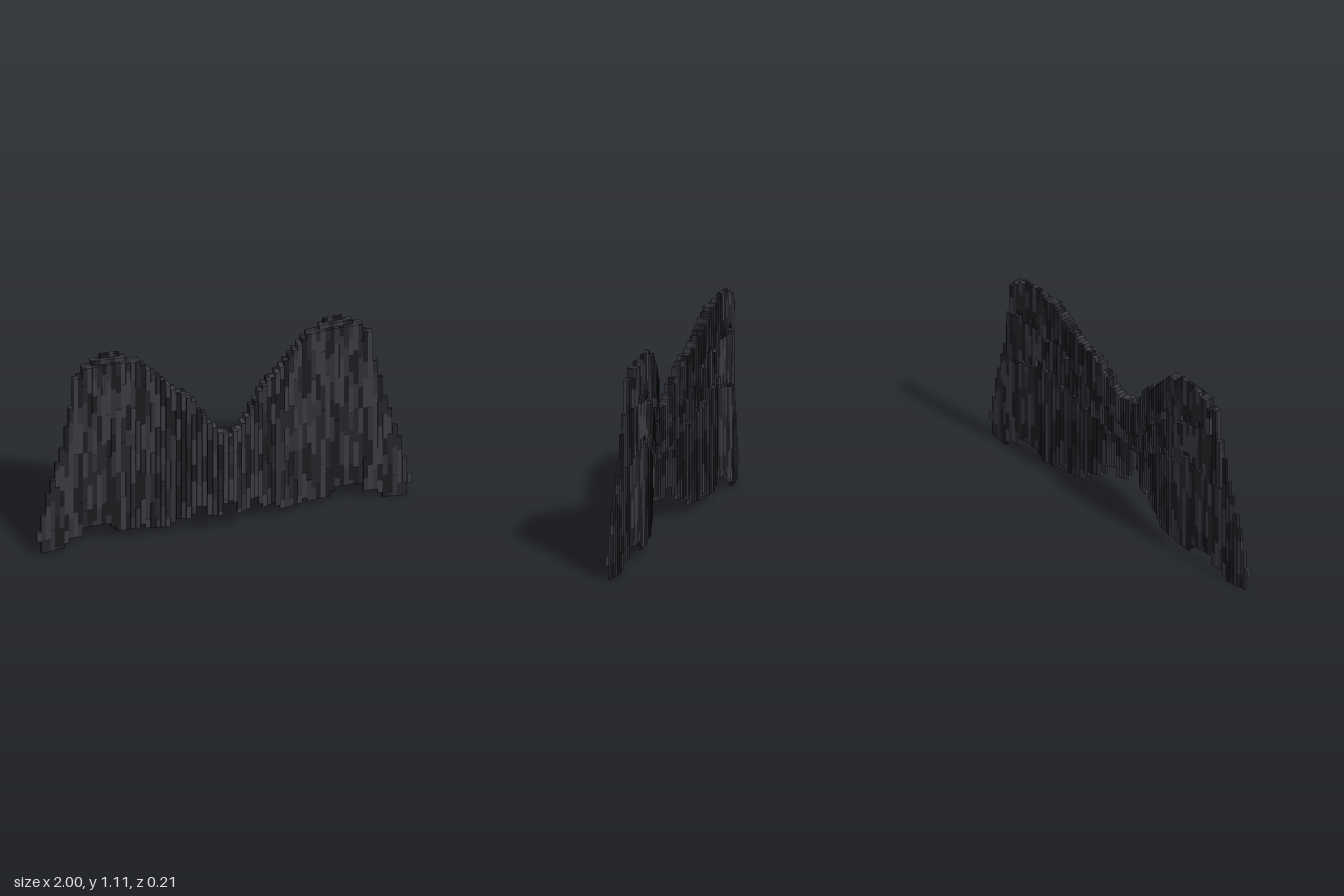
import * as THREE from 'three';
import { mergeGeometries } from 'three/addons/utils/BufferGeometryUtils.js';

const W = 2 / 79;      // column width
const T = 0.0185;      // layer thickness
const SHADES = [0x1b1b1f, 0x25252a, 0x303036, 0x3a3a42];

// Height profiles as [x, y] points, shared by both wings
const TOP = [[0, 0.61], [0.04, 0.635], [0.1, 0.69], [0.19, 0.82], [0.3, 0.91], [0.4, 1.0], [0.45, 1.05],
  [0.53, 1.085], [0.56, 1.11], [0.64, 1.11], [0.67, 1.085], [0.72, 1.06], [0.74, 1.06], [0.76, 1.01], [0.79, 1.01],
  [0.81, 0.83], [0.835, 0.73], [0.86, 0.6], [0.89, 0.51], [0.91, 0.43], [0.935, 0.35], [0.96, 0.23], [0.987, 0.125]];
const BOTTOM = [[0, 0.2], [0.025, 0.2], [0.05, 0.13], [0.1, 0.13], [0.13, 0.18], [0.16, 0.18], [0.19, 0.1],
  [0.25, 0.1], [0.28, 0.075], [0.33, 0.05], [0.41, 0.05], [0.44, 0.1], [0.46, 0.05], [0.56, 0.05], [0.6, 0.1],
  [0.73, 0.1], [0.76, 0.05], [0.82, 0.05], [0.86, 0], [0.96, 0], [0.987, 0.08]];
const COVERT_END = [[0, 0.32], [0.1, 0.37], [0.25, 0.49], [0.45, 0.6], [0.6, 0.63], [0.83, 0.57]];
const RIDGE_END = [[0, 0.42], [0.2, 0.63], [0.4, 0.8], [0.6, 0.89], [0.8, 0.87]];

function sample(profile, x) {
  for (let i = 1; i < profile.length; i++) {
    const [x0, y0] = profile[i - 1], [x1, y1] = profile[i];
    if (x <= x1) return y0 + (y1 - y0) * (x - x0) / (x1 - x0);
  }
  return profile[profile.length - 1][1];
}

const snap = (y) => Math.round(y / W) * W;

function hash(a, b, c) {
  const s = Math.sin(a * 12.9898 + b * 78.233 + c * 37.719) * 43758.5453;
  return s - Math.floor(s);
}

// Front surface: bowed back from the middle, curling forward at the tip
function frontZ(x) {
  return x < 0.65 ? -0.05 + 0.155 * ((0.65 - x) / 0.65) ** 2
    : -0.05 + 0.03 * ((x - 0.65) / 0.35) ** 2;
}

// One layer of a wing: columns split into staggered feather bricks
function buildLayer(name, side, layer, endProfile, maxX, cap) {
  const group = new THREE.Group();
  group.name = name;
  const bricks = SHADES.map(() => []);
  for (let i = side > 0 ? 0 : 1; i <= 39; i++) {
    const x = i * W;
    if (x > maxX) break;
    const top = Math.min(snap(sample(TOP, x)), cap);
    let end = snap(sample(endProfile, x));
    if (layer > 0) end += Math.floor(hash(i, layer, 1) * 3 - 1) * W;
    let y = top;
    let n = 0;
    while (y > end + 0.001) {
      const length = n === 0 ? W * (2 + (i * 3) % 5) : W * (4 + Math.floor(hash(i, n, layer) * 5));
      const low = Math.max(end, y - length);
      const relief = layer === 0 ? hash(i, n, 4) * 0.004 : 0;
      const z = frontZ(x) - layer * T - T / 2 - relief / 2;
      const g = new THREE.BoxGeometry(W, y - low, T - relief);
      g.translate(side * x, (y + low) / 2, z);
      bricks[Math.floor(hash(i, n, layer + 7) * SHADES.length)].push(g);
      y = low;
      n++;
    }
  }
  bricks.forEach((list, s) => {
    if (!list.length) return;
    const mesh = new THREE.Mesh(mergeGeometries(list),
      new THREE.MeshStandardMaterial({ color: SHADES[s] }));
    mesh.name = `${name}Shade${s + 1}`;
    group.add(mesh);
  });
  return group;
}

export function createModel() {
  const model = new THREE.Group();
  model.name = 'wings';
  for (const [side, label] of [[1, 'left'], [-1, 'right']]) {
    const wing = new THREE.Group();
    wing.name = `${label}Wing`;
    // Long flight feathers, then two shorter rows stacked behind them
    wing.add(buildLayer(`${label}FlightFeathers`, side, 0, BOTTOM, 1, 1.065));
    wing.add(buildLayer(`${label}CovertFeathers`, side, 1, COVERT_END, 0.83, 1.09));
    wing.add(buildLayer(`${label}LeadingRidge`, side, 2, RIDGE_END, 0.78, 1.11));
    model.add(wing);
  }
  return model;
}
